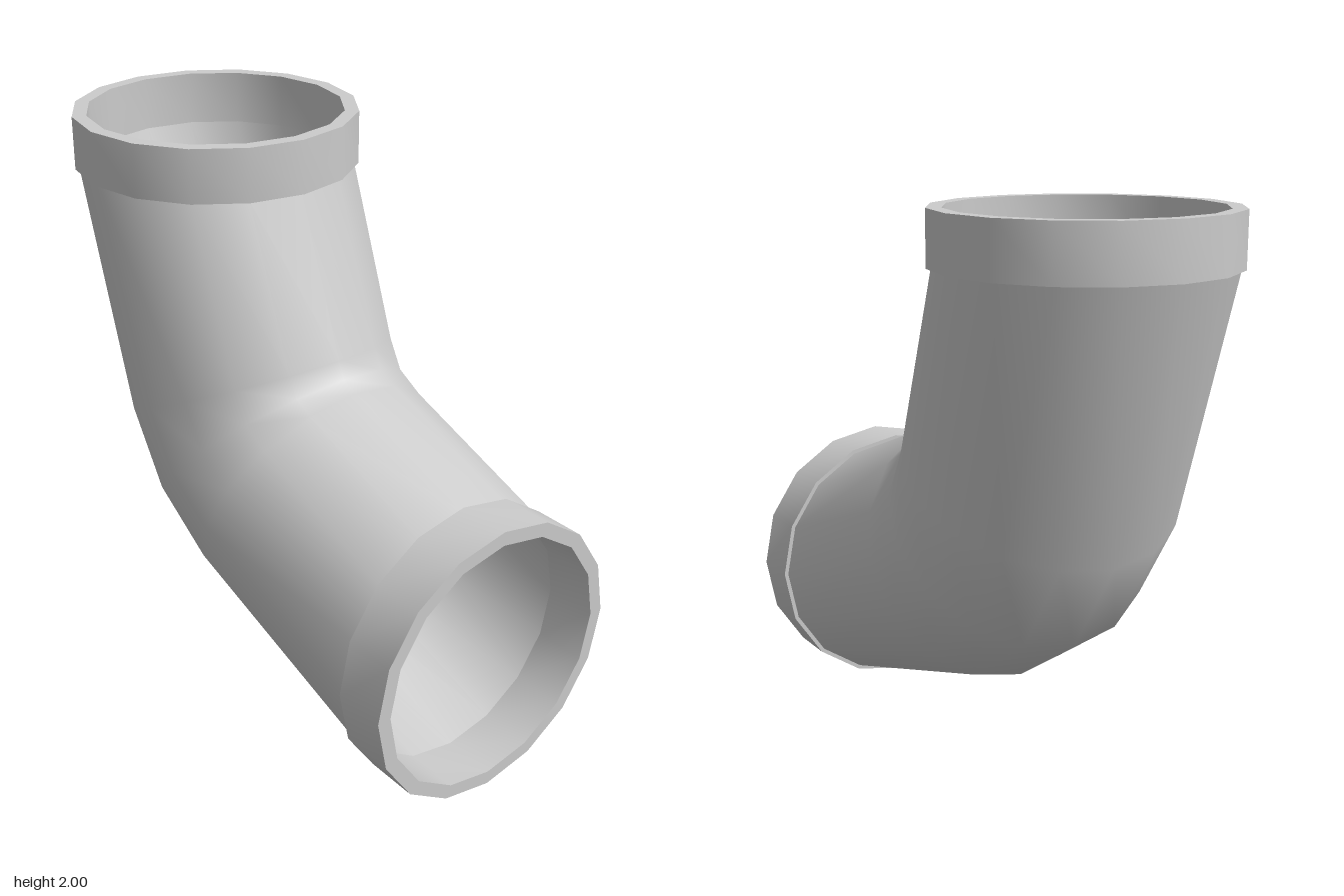
import * as THREE from 'three';
import { mergeGeometries } from 'three/addons/utils/BufferGeometryUtils.js';

const SIDES = 16;
const R_COLLAR = 0.5, R_BODY = 0.485, R_BORE = 0.45;

// Cross-section stations along the elbow: centre and tilt in degrees
const station = (x, y, tilt) => ({ x, y, tilt: THREE.MathUtils.degToRad(tilt) });
const topEnd = station(-0.5, 2, 0), topSeat = station(-0.5, 1.815, 0);
const sideSeat = station(0.815, 0.5, 90), sideEnd = station(1, 0.5, 90);
const bend = [
  topSeat,
  station(-0.25, 1.075, 25),
  station(-0.125, 0.875, 45),
  station(0.075, 0.75, 65),
  sideSeat,
];

// Smooth skin through a list of [station, radius] rings
function skin(rings) {
  const pos = [], idx = [];
  rings.forEach(([s, r], i) => {
    for (let j = 0; j < SIDES; j++) {
      const t = (j / SIDES) * Math.PI * 2;
      const u = r * Math.cos(t);
      pos.push(s.x + u * Math.cos(s.tilt), s.y + u * Math.sin(s.tilt), r * Math.sin(t));
      if (i === 0) continue;
      const k = (j + 1) % SIDES, a = (i - 1) * SIDES, b = i * SIDES;
      idx.push(a + j, a + k, b + j, a + k, b + k, b + j);
    }
  });
  const geo = new THREE.BufferGeometry();
  geo.setAttribute('position', new THREE.Float32BufferAttribute(pos, 3));
  geo.setIndex(idx);
  geo.computeVertexNormals();
  return geo;
}

// Rectangular-section ring; every wall is its own skin so the rims stay sharp
function collar(from, to) {
  const loop = [[from, R_COLLAR], [to, R_COLLAR], [to, R_BORE], [from, R_BORE]];
  return mergeGeometries(loop.map((ring, i) => skin([ring, loop[(i + 1) % 4]])));
}

export function createModel() {
  const group = new THREE.Group();
  group.name = 'pipeElbow';
  const material = new THREE.MeshStandardMaterial({ color: 0xcccccc });
  const add = (name, geometry) => {
    const mesh = new THREE.Mesh(geometry, material);
    mesh.name = name;
    group.add(mesh);
  };

  // Bent pipe, outside and bore
  add('elbowOuterWall', skin(bend.map((s) => [s, R_BODY])));
  add('elbowInnerWall', skin([...bend].reverse().map((s) => [s, R_BORE])));

  // Collars at both openings
  add('topCollar', collar(topEnd, topSeat));
  add('sideCollar', collar(sideSeat, sideEnd));

  return group;
}
